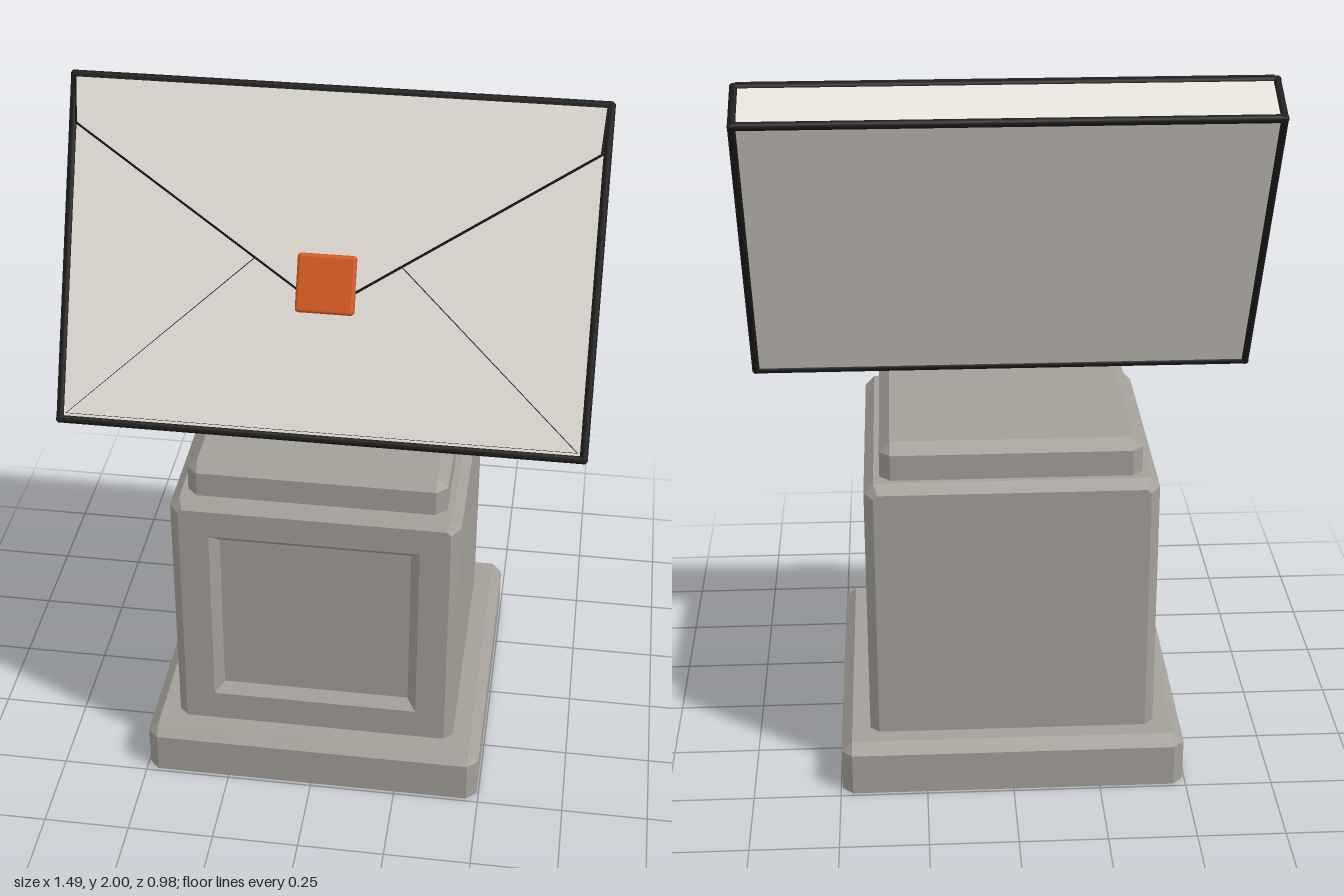
import * as THREE from 'three';
import { ConvexGeometry } from 'three/addons/geometries/ConvexGeometry.js';
import { RoundedBoxGeometry } from 'three/addons/geometries/RoundedBoxGeometry.js';

// Slab standing on y = 0 with cut upright corners and a cut top rim
function slab(w, h, d, c) {
  const pts = [];
  for (const sx of [-1, 1]) for (const sz of [-1, 1]) {
    const corner = (cx, y, cz) => pts.push(new THREE.Vector3(sx * (w / 2 - cx), y, sz * (d / 2 - cz)));
    for (const y of [0, h - c]) {
      corner(c, y, 0);
      corner(0, y, c);
    }
    corner(c, h, c);
  }
  return new ConvexGeometry(pts);
}

function polygon(points) {
  return new THREE.Shape(points.map(([x, y]) => new THREE.Vector2(x, y)));
}

// Plate with a small bevel, lying between z = 0 and z = thickness
function plate(points, thickness, bevel) {
  const geometry = new THREE.ExtrudeGeometry(polygon(points), {
    depth: thickness - 2 * bevel, bevelEnabled: true, bevelSize: bevel,
    bevelThickness: bevel, bevelOffset: -bevel, bevelSegments: 1,
  });
  return geometry.translate(0, 0, bevel);
}

export function createModel() {
  const stone = new THREE.MeshStandardMaterial({ color: 0xa39f98 });
  stone.name = 'grey stone';
  const paper = new THREE.MeshStandardMaterial({ color: 0xe7e2da });
  paper.name = 'cream paper';
  const trim = new THREE.MeshStandardMaterial({ color: 0x1c1b1a });
  trim.name = 'black trim';
  const wax = new THREE.MeshStandardMaterial({ color: 0xd4591e });
  wax.name = 'orange wax';

  const model = new THREE.Group();
  model.name = 'envelopeOnPedestal';

  function add(parent, name, geometry, material, x = 0, y = 0, z = 0) {
    const mesh = new THREE.Mesh(geometry, material);
    mesh.name = name;
    mesh.position.set(x, y, z);
    parent.add(mesh);
    return mesh;
  }

  // Pedestal: plinth, panelled block and stepped cap
  const pedestal = new THREE.Group();
  pedestal.name = 'pedestal';
  model.add(pedestal);
  add(pedestal, 'plinth', slab(0.99, 0.155, 0.98, 0.03), stone);
  add(pedestal, 'cap', slab(0.735, 0.125, 0.735, 0.03), stone, 0, 0.92, 0);

  // Block outline with cut corners; the bevel also slopes the panel recess
  const b = 0.026, hw = 0.412 - b, y0 = 0.12 + b, y1 = 0.94 - b, c = 0.012;
  const outline = polygon([
    [-hw, y0], [hw, y0], [hw, y1 - c], [hw - c, y1], [-hw + c, y1], [-hw, y1 - c],
  ]);
  const inX = 0.30, inLow = 0.25, inHigh = 0.83;
  outline.holes.push(new THREE.Path([
    new THREE.Vector2(-inX, inLow), new THREE.Vector2(-inX, inHigh),
    new THREE.Vector2(inX, inHigh), new THREE.Vector2(inX, inLow),
  ]));
  const block = new THREE.ExtrudeGeometry(outline, {
    depth: 0.82 - 2 * b, bevelEnabled: true, bevelSize: b, bevelThickness: b, bevelSegments: 1,
  });
  add(pedestal, 'block', block, stone, 0, 0, -0.41 + b);

  // Core closes the back flush and forms the recessed front panel
  add(pedestal, 'recessedPanel', new THREE.BoxGeometry(2 * inX, inHigh - inLow, 0.79), stone,
    0, (inLow + inHigh) / 2, -0.015);

  // Envelope leaning backwards on top
  const envelope = new THREE.Group();
  envelope.name = 'envelope';
  envelope.position.set(0, 1.523, 0.034);
  envelope.rotation.x = -THREE.MathUtils.degToRad(25.7);
  model.add(envelope);

  const size = [1.474, 0.968, 0.168], front = size[2] / 2;
  add(envelope, 'envelopeBody', new THREE.BoxGeometry(...size), paper);

  // Dark piping along all twelve edges
  const piping = new THREE.Group();
  piping.name = 'edgePiping';
  envelope.add(piping);
  const radius = 0.012, inset = 0.006;
  for (let axis = 0; axis < 3; axis++) {
    const u = (axis + 1) % 3, v = (axis + 2) % 3;
    for (const su of [-1, 1]) for (const sv of [-1, 1]) {
      const at = [0, 0, 0];
      at[u] = su * (size[u] / 2 - inset);
      at[v] = sv * (size[v] / 2 - inset);
      const bar = add(piping, 'edgeBar', new THREE.CylinderGeometry(radius, radius, size[axis], 12), trim, ...at);
      if (axis === 0) bar.rotation.z = Math.PI / 2;
      if (axis === 2) bar.rotation.x = Math.PI / 2;
    }
  }

  // Folded lower flap whose dark slanted edges make the diagonal seams
  add(envelope, 'lowerFlap', plate([[-0.715, -0.46], [0.715, -0.46], [0, 0.2]], 0.01, 0.003), [paper, trim],
    0, 0, front - 0.002);

  // Closing flap with dark edges, overlapping from the top
  const flap = [
    [-0.728, 0.478], [-0.72, 0.345], [-0.05, -0.09], [0, -0.11],
    [0.05, -0.09], [0.72, 0.345], [0.728, 0.478],
  ];
  add(envelope, 'closingFlap', plate(flap, 0.026, 0.007), [paper, trim], 0, 0, front - 0.002);

  // Square seal over the flap tip
  add(envelope, 'seal', new RoundedBoxGeometry(0.163, 0.163, 0.034, 3, 0.01), wax, 0, -0.047, front + 0.021);

  return model;
}
